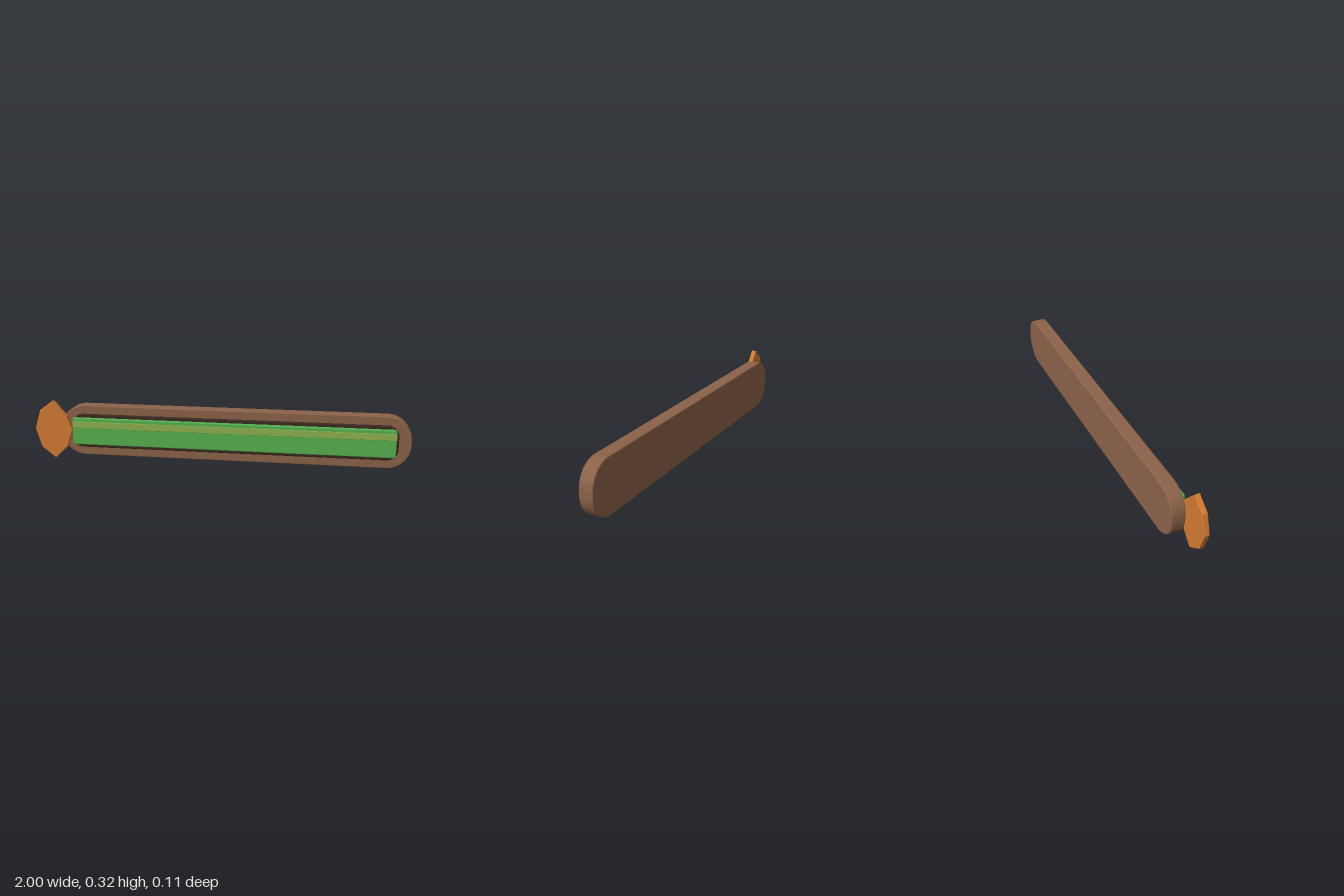
import * as THREE from 'three';

const material = (name, color) => {
  const m = new THREE.MeshStandardMaterial({ color });
  m.name = name;
  return m;
};

// Rounded rectangle between two corners
function roundedRect(x0, x1, y0, y1, r) {
  const s = new THREE.Shape();
  s.absarc(x1 - r, y0 + r, r, -Math.PI / 2, 0);
  s.absarc(x1 - r, y1 - r, r, 0, Math.PI / 2);
  s.absarc(x0 + r, y1 - r, r, Math.PI / 2, Math.PI);
  s.absarc(x0 + r, y0 + r, r, Math.PI, Math.PI * 1.5);
  s.closePath();
  return s;
}

// Bevelled plate from z0 to z1 whose bevel stays inside the outline
function plate(name, shape, z0, z1, bevel, mat) {
  const geo = new THREE.ExtrudeGeometry(shape, {
    depth: z1 - z0 - 2 * bevel, curveSegments: 12,
    bevelEnabled: true, bevelThickness: bevel, bevelSize: bevel,
    bevelOffset: -bevel, bevelSegments: 3,
  });
  geo.translate(0, 0, z0 + bevel);
  const mesh = new THREE.Mesh(geo, mat);
  mesh.name = name;
  return mesh;
}

export function createModel() {
  const brown = material('frame brown', 0x8b6248);
  const dark = material('recess dark brown', 0x3a2a20);
  const green = material('fill green', 0x55b04f);
  const lime = material('highlight lime', 0x8bb04c);
  const orange = material('gem orange', 0xd27a32);

  const group = new THREE.Group();
  group.name = 'statusBar';

  // Long capsule-like backing with a dark inset on its front
  group.add(plate('frame', roundedRect(-0.86, 1, 0.015, 0.291, 0.125), -0.056, 0.017, 0.006, brown));
  group.add(plate('recess', roundedRect(-0.8, 0.935, 0.061, 0.245, 0.06), 0, 0.03, 0.006, dark));

  // Filled bar and its narrow highlight strip
  group.add(plate('fill', roundedRect(-0.792, 0.922, 0.08, 0.227, 0.012), 0.025, 0.048, 0.005, green));
  group.add(plate('highlight', roundedRect(-0.79, 0.923, 0.172, 0.208, 0.004), 0.028, 0.05, 0.002, lime));

  // Faceted gem at the end of the bar
  const gem = new THREE.Shape([
    [-0.893, 0], [-0.82, 0.07], [-0.79, 0.163], [-0.82, 0.235],
    [-0.893, 0.32], [-0.968, 0.265], [-1, 0.163], [-0.968, 0.06],
  ].map(([x, y]) => new THREE.Vector2(x, y)));
  group.add(plate('gem', gem, 0.028, 0.056, 0.004, orange));

  return group;
}
